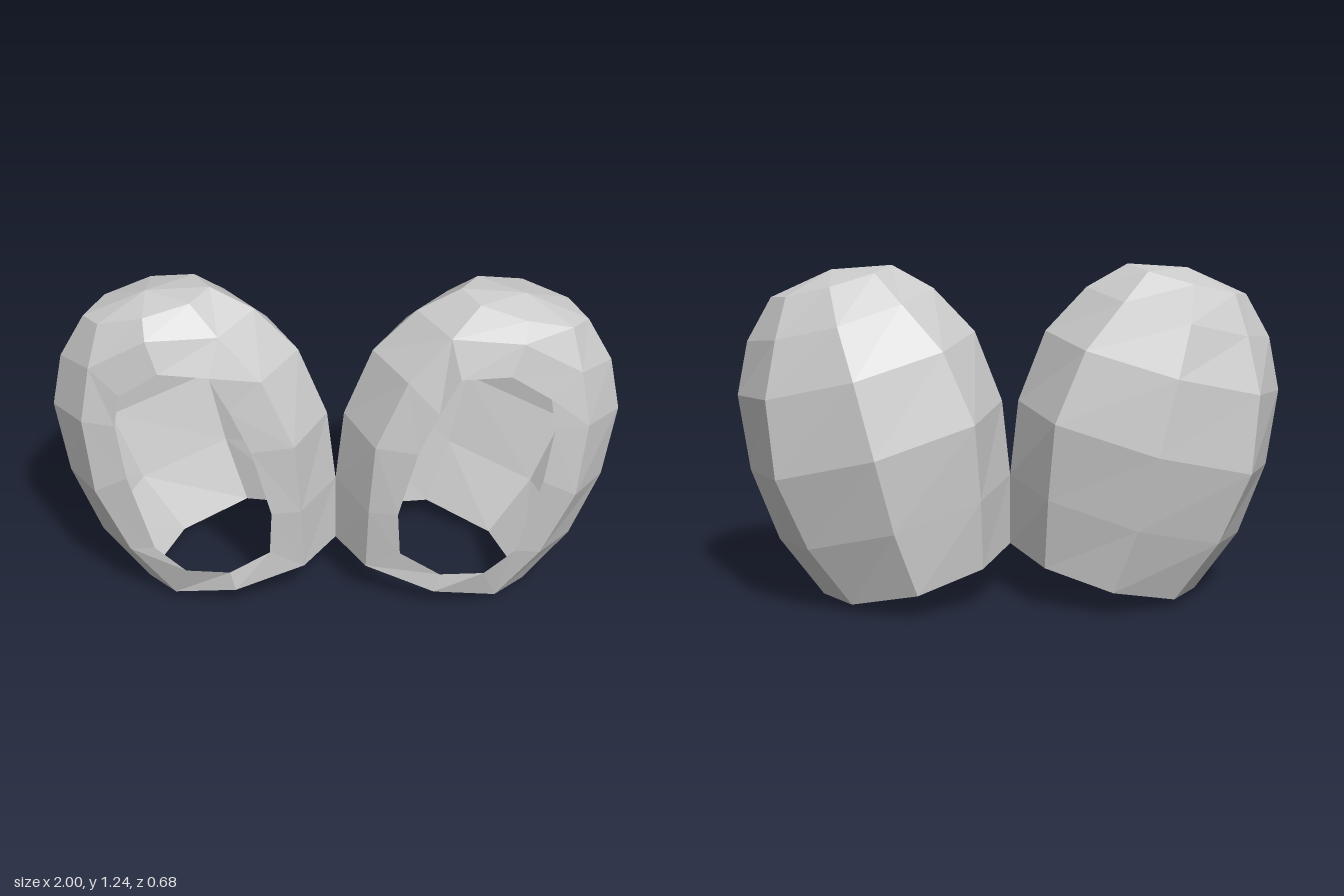
import * as THREE from 'three';

// Tilted cross-sections from the open bottom to the crown:
// outer x,y | inner x,y | corner inset | front corner z | back corner z | back centre z
const ROWS = [
  [0.70, 0.00, 0.00, 0.185, 0.16, 0.27, -0.12, -0.24],
  [0.86, 0.215, 0.00, 0.45, 0.14, 0.30, -0.16, -0.295],
  [0.96, 0.48, 0.03, 0.73, 0.12, 0.315, -0.19, -0.335],
  [1.00, 0.76, 0.13, 0.99, 0.14, 0.30, -0.155, -0.29],
  [0.96, 0.96, 0.28, 1.15, 0.17, 0.275, -0.07, -0.19],
  [0.87, 1.12, 0.43, 1.235, 0.14, 0.22, 0.01, -0.05],
];
const SEAM_Z = 0.13;

// Front opening, anticlockwise from bottom centre
const OPENING = [
  [0.38, 0.165, 0.33], [0.54, 0.165, 0.32], [0.65, 0.26, 0.31], [0.73, 0.58, 0.335],
  [0.76, 0.79, 0.325], [0.74, 0.91, 0.32], [0.60, 1.01, 0.34], [0.43, 0.99, 0.33],
  [0.36, 0.85, 0.33], [0.29, 0.69, 0.335], [0.225, 0.42, 0.32], [0.235, 0.24, 0.305],
];

// Named points of one cross-section
function section([ox, oy, ix, iy, t, zf, zb, zm]) {
  const at = (k, z) => [ox + (ix - ox) * k, oy + (iy - oy) * k, z];
  return {
    outer: at(0, SEAM_Z), outerBack: at(t, zb), midBack: at(0.5, zm), innerBack: at(1 - t, zb),
    inner: at(1, SEAM_Z), innerFront: at(1 - t, zf), outerFront: at(t, zf),
  };
}

// Flat-shaded mesh from polygons; side = -1 mirrors it across x
function facets(name, polygons, side) {
  const pos = [];
  for (const poly of polygons) {
    const p = side < 0 ? [...poly].reverse() : poly;
    for (let i = 1; i < p.length - 1; i++) {
      for (const v of [p[0], p[i], p[i + 1]]) pos.push(v[0] * side, v[1], v[2]);
    }
  }
  const geo = new THREE.BufferGeometry();
  geo.setAttribute('position', new THREE.Float32BufferAttribute(pos, 3));
  geo.computeVertexNormals();
  const mesh = new THREE.Mesh(geo, new THREE.MeshStandardMaterial({
    color: 0xcccccc, flatShading: true, side: THREE.DoubleSide,
  }));
  mesh.name = name;
  return mesh;
}

// Quads between two point lists of equal length
function strip(a, b) {
  const quads = [];
  for (let i = 0; i < a.length - 1; i++) quads.push([a[i], a[i + 1], b[i + 1], b[i]]);
  return quads;
}

function createShell(name, side) {
  const shell = new THREE.Group();
  shell.name = name;
  const rows = ROWS.map(section);
  const crown = rows[5];

  // Back and side wall
  const wall = [];
  const backLine = (s) => [s.outer, s.outerBack, s.midBack, s.innerBack, s.inner];
  for (let r = 0; r < 5; r++) {
    const s = rows[r], n = rows[r + 1];
    wall.push(...strip(backLine(s), backLine(n)));
    wall.push(...strip([s.inner, s.innerFront], [n.inner, n.innerFront]));
    wall.push(...strip([s.outerFront, s.outer], [n.outerFront, n.outer]));
  }
  shell.add(facets('wall', wall, side));

  // Rim around the front opening
  const bottom = [0.36, 0.09, 0.335];
  const top = [0.64, 1.12, 0.31];
  const lower = rows.slice(0, 5);
  const rim = [bottom, ...lower.map((s) => s.outerFront), top,
    ...lower.map((s) => s.innerFront).reverse(), bottom];
  shell.add(facets('openingRim', strip(rim, [...OPENING, OPENING[0]]), side));

  // Brow joining the rim to the crown
  const brow = [0.65, 1.18, 0.255];
  shell.add(facets('brow', strip(
    [rows[4].innerFront, top, rows[4].outerFront],
    [crown.innerFront, brow, crown.outerFront]), side));

  // Crown cap
  const apex = [0.65, 1.22, SEAM_Z];
  const loop = [...backLine(crown), crown.innerFront, brow, crown.outerFront];
  const cap = loop.map((p, i) => [p, loop[(i + 1) % loop.length], apex]);
  shell.add(facets('crownCap', cap, side));
  return shell;
}

export function createModel() {
  const model = new THREE.Group();
  model.name = 'pairedShells';
  model.add(createShell('leftShell', 1), createShell('rightShell', -1));
  return model;
}
